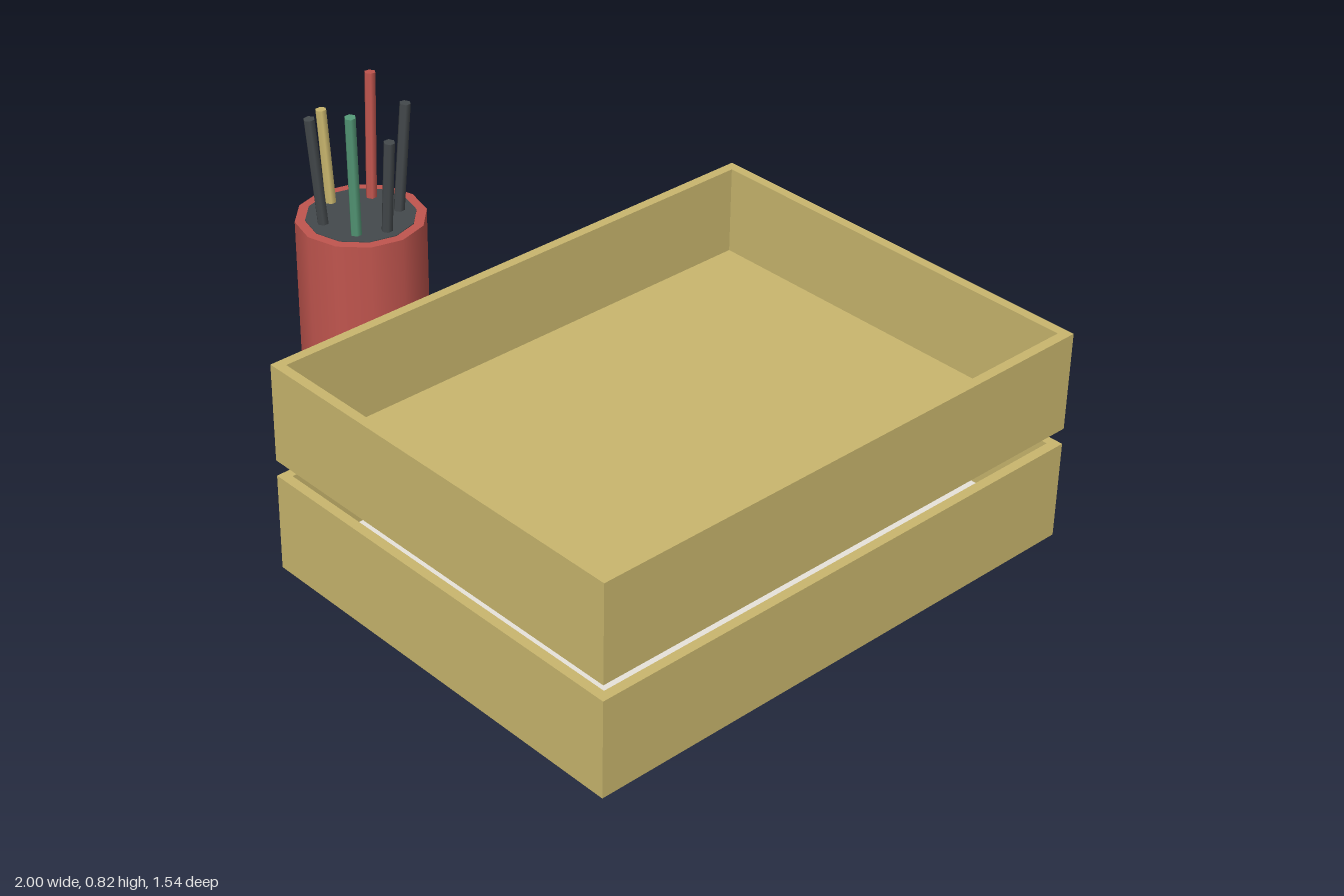
import * as THREE from 'three';

const material = (name, color) => {
  const m = new THREE.MeshStandardMaterial({ color });
  m.name = name;
  return m;
};

export function createModel() {
  const tan = material('tan', 0xc9b66e);
  const red = material('red', 0xc0554e);
  const green = material('green', 0x559a78);
  const dark = material('charcoal', 0x44494c);
  const white = material('paper white', 0xe9e5dc);
  const pencilDark = dark;

  const model = new THREE.Group();
  model.name = 'deskOrganizer';

  const add = (parent, name, geometry, mat, x, y, z) => {
    const mesh = new THREE.Mesh(geometry, mat);
    mesh.name = name;
    mesh.position.set(x, y, z);
    parent.add(mesh);
    return mesh;
  };

  // Letter trays: a floor and a one-piece wall frame
  const W = 1.185, D = 1.544, H = 0.275, T = 0.027;
  const rect = (shape, w, d) => {
    shape.moveTo(-w / 2, -d / 2);
    shape.lineTo(w / 2, -d / 2);
    shape.lineTo(w / 2, d / 2);
    shape.lineTo(-w / 2, d / 2);
    shape.closePath();
    return shape;
  };
  const outline = rect(new THREE.Shape(), W, D);
  outline.holes.push(rect(new THREE.Path(), W - 2 * T, D - 2 * T));
  const frame = new THREE.ExtrudeGeometry(outline, { depth: H, bevelEnabled: false });
  frame.rotateX(-Math.PI / 2);
  const floor = new THREE.BoxGeometry(W - 2 * T, T, D - 2 * T);

  ['lowerTray', 'upperTray'].forEach((name, i) => {
    const tray = new THREE.Group();
    tray.name = name;
    tray.position.set(1 - W / 2, i * 0.32, 0);
    add(tray, 'trayWalls', frame, tan, 0, 0, 0);
    add(tray, 'trayFloor', floor, tan, 0, T / 2, 0);
    // Paper stack in the lower tray
    if (i === 0) add(tray, 'paperStack', new THREE.BoxGeometry(1.04, 0.06, 1.4), white, 0, T + 0.03, 0);
    model.add(tray);
  });

  // Pencil cup with a dark opening
  const cup = new THREE.Group();
  cup.name = 'pencilCup';
  cup.position.x = -0.82;
  model.add(cup);
  const cupH = 0.455;
  add(cup, 'cupBody', new THREE.CylinderGeometry(0.18, 0.18, cupH, 12), red, 0, cupH / 2, 0);
  add(cup, 'cupOpening', new THREE.CylinderGeometry(0.152, 0.152, 0.002, 12), dark, 0, cupH + 0.001, 0);

  // Pencils fanning outwards: tip x, tip height, tip z, colour
  const pencils = [
    [0.135, 0.73, 0.0, pencilDark],
    [0.095, 0.82, 0.095, green],
    [-0.04, 0.775, 0.128, pencilDark],
    [-0.135, 0.73, 0.018, tan],
    [-0.08, 0.82, -0.11, red],
    [0.055, 0.775, -0.12, pencilDark],
  ];
  const up = new THREE.Vector3(0, 1, 0);
  for (const [x, y, z, mat] of pencils) {
    const tip = new THREE.Vector3(x, y, z);
    const radius = Math.hypot(x, z);
    const lean = new THREE.Vector3((x / radius) * 0.08, 1, (z / radius) * 0.08).normalize();
    const length = y - 0.1;
    const centre = tip.addScaledVector(lean, -length / 2);
    const pencil = add(cup, 'pencil', new THREE.CylinderGeometry(0.016, 0.016, length, 6), mat,
      centre.x, centre.y, centre.z);
    pencil.quaternion.setFromUnitVectors(up, lean);
  }

  return model;
}
